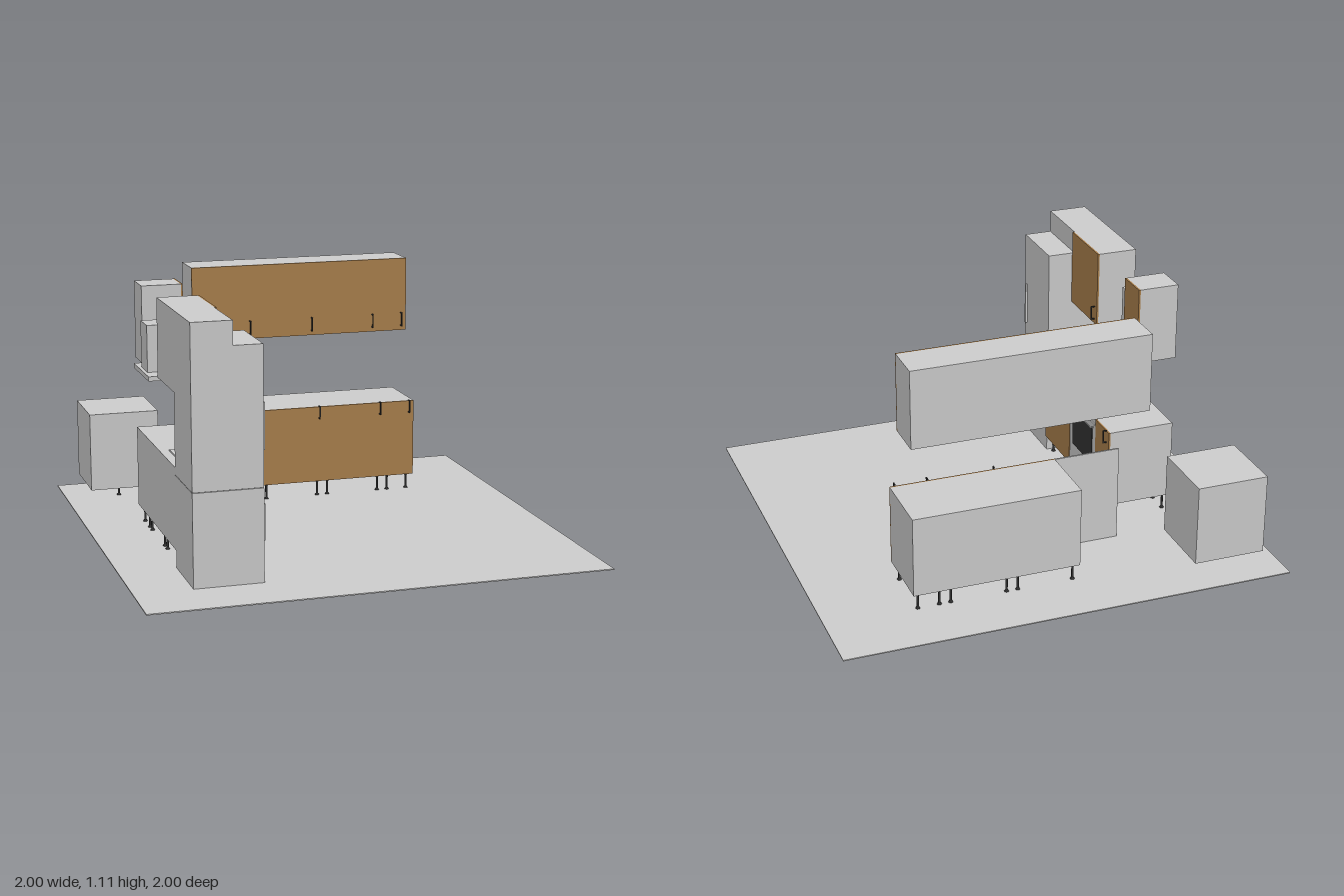
import * as THREE from 'three';

const mat = (color) => new THREE.MeshStandardMaterial({ color });
const GREY = mat(0xcccccc), WOOD = mat(0xa97f4c), DARK = mat(0x333333);

export function createModel() {
  const model = new THREE.Group();

  // box given by its min and max on each axis
  const box = (name, x0, x1, y0, y1, z0, z1, material = GREY, parent = model) => {
    const mesh = new THREE.Mesh(new THREE.BoxGeometry(x1 - x0, y1 - y0, z1 - z0), material);
    mesh.position.set((x0 + x1) / 2, (y0 + y1) / 2, (z0 + z1) / 2);
    mesh.name = name;
    parent.add(mesh);
    return mesh;
  };

  // round furniture leg with a flared foot
  const legProfile = [[0, 0], [0.01, 0], [0.01, 0.006], [0.005, 0.014], [0.005, 0.068], [0.009, 0.072], [0.009, 0.08], [0, 0.08]]
    .map(([r, y]) => new THREE.Vector2(r, y));
  const legGeometry = new THREE.LatheGeometry(legProfile, 12);
  const leg = (x, z) => {
    const mesh = new THREE.Mesh(legGeometry, DARK);
    mesh.position.set(x, 0, z);
    mesh.name = 'leg';
    model.add(mesh);
  };

  // bar handle on two posts, built upright and facing +z
  const handle = (name, x, y, z, length, turnY = 0, turnZ = 0, material = DARK) => {
    const group = new THREE.Group();
    const h = length / 2, t = 0.0025;
    box('handleBar', -t, t, -h, h, 0.014, 0.019, material, group);
    for (const s of [-1, 1]) {
      const c = s * (h - t);
      box('handlePost', -t, t, c - t, c + t, 0, 0.014, material, group);
    }
    group.position.set(x, y, z);
    group.rotation.set(0, turnY, turnZ);
    group.name = name;
    model.add(group);
  };

  box('floor', -1, 1, 0, 0.005, -1, 1);

  // back run: wall cabinets and base cabinets, doors facing +z
  box('backWallCabinet', -0.425, 0.62, 0.76, 1.105, -0.75, -0.573);
  const doorEdges = [-0.425, -0.125, 0.175, 0.475, 0.62];
  box('backBaseCabinet', -0.125, 0.62, 0.08, 0.44, -0.75, -0.45);
  for (let i = 0; i < 4; i++) {
    const a = doorEdges[i], b = doorEdges[i + 1];
    box('backWallDoor', a, b, 0.76, 1.105, -0.573, -0.565, WOOD);
    handle('wallDoorHandle', b - 0.025, 0.813, -0.565, 0.065);
    if (i === 0) continue;
    box('backBaseDoor', a, b, 0.08, 0.44, -0.45, -0.442, WOOD);
    handle('baseDoorHandle', b - 0.025, 0.415, -0.442, 0.062);
    for (const x of [a + 0.025, b - 0.025]) for (const z of [-0.725, -0.475]) leg(x, z);
  }
  box('dishwasherFront', -0.425, -0.125, 0.005, 0.44, -0.45, -0.442);
  handle('dishwasherHandle', -0.28, 0.39, -0.442, 0.07, 0, Math.PI / 2);

  // corner cabinet
  box('cornerCabinet', -0.91, -0.59, 0.08, 0.44, -0.91, -0.59);
  leg(-0.75, -0.75);

  // side run: doors facing +x
  for (const [z0, z1, hz] of [[0.15, 0.45, 0.175], [-0.3, -0.15, -0.275]]) {
    box('sideWallCabinet', -0.75, -0.573, 0.76, 1.105, z0, z1);
    box('sideWallDoor', -0.573, -0.565, 0.76, 1.105, z0, z1, WOOD);
    handle('sideWallHandle', -0.565, 0.813, hz, 0.065, Math.PI / 2);
    box('sideBaseCabinet', -0.75, -0.45, 0.08, 0.44, z0, z1);
    box('sideBaseDoor', -0.45, -0.442, 0.08, 0.44, z0, z1, WOOD);
    handle('sideBaseHandle', -0.442, 0.415, hz, 0.062, Math.PI / 2);
  }
  for (const z of [-0.275, -0.175, -0.125, 0.125, 0.175, 0.425]) for (const x of [-0.725, -0.475]) leg(x, z);

  // oven
  box('ovenBody', -0.75, -0.45, 0.08, 0.44, -0.15, 0.15);
  box('ovenDoor', -0.45, -0.444, 0.115, 0.405, -0.148, 0.148);
  box('ovenWindow', -0.446, -0.441, 0.2, 0.375, -0.112, 0.112, DARK);
  handle('ovenHandle', -0.446, 0.39, 0, 0.25, Math.PI / 2, Math.PI / 2, GREY);
  model.children.at(-1).rotation.order = 'YXZ';

  // extractor hood
  box('hoodPlate', -0.79, -0.54, 0.745, 0.765, -0.15, 0.15);
  box('hoodDuct', -0.775, -0.65, 0.765, 0.97, -0.062, 0.062);

  // sink: plate with a raised rim, and a tap
  box('sinkBasin', -0.71, -0.49, 0.44, 0.442, 0.17, 0.43);
  box('sinkRim', -0.71, -0.66, 0.44, 0.447, 0.17, 0.43);
  box('sinkRim', -0.505, -0.49, 0.44, 0.447, 0.17, 0.43);
  for (const z of [0.17, 0.415]) box('sinkRim', -0.66, -0.505, 0.44, 0.447, z, z + 0.015);
  const tapPath = new THREE.CatmullRomCurve3([[-0.69, 0.447], [-0.69, 0.515], [-0.675, 0.537], [-0.645, 0.537], [-0.63, 0.52]]
    .map(([x, y]) => new THREE.Vector3(x, y, 0.3)));
  const tap = new THREE.Mesh(new THREE.TubeGeometry(tapPath, 24, 0.007, 10), GREY);
  tap.material = new THREE.MeshStandardMaterial({ color: 0xcccccc, side: THREE.DoubleSide });
  tap.name = 'tap';
  model.add(tap);

  // fridge with two doors, and the cabinet above it
  box('fridgeLower', -0.75, -0.45, 0.005, 0.407, 0.45, 0.75);
  box('fridgeUpper', -0.75, -0.45, 0.409, 1.003, 0.45, 0.75);
  for (const [y0, y1] of [[0.18, 0.335], [0.56, 0.76]]) box('fridgeHandle', -0.45, -0.441, y0, y1, 0.721, 0.733);
  box('overFridgeCabinet', -0.75, -0.575, 1.003, 1.105, 0.45, 0.75);

  return model;
}
